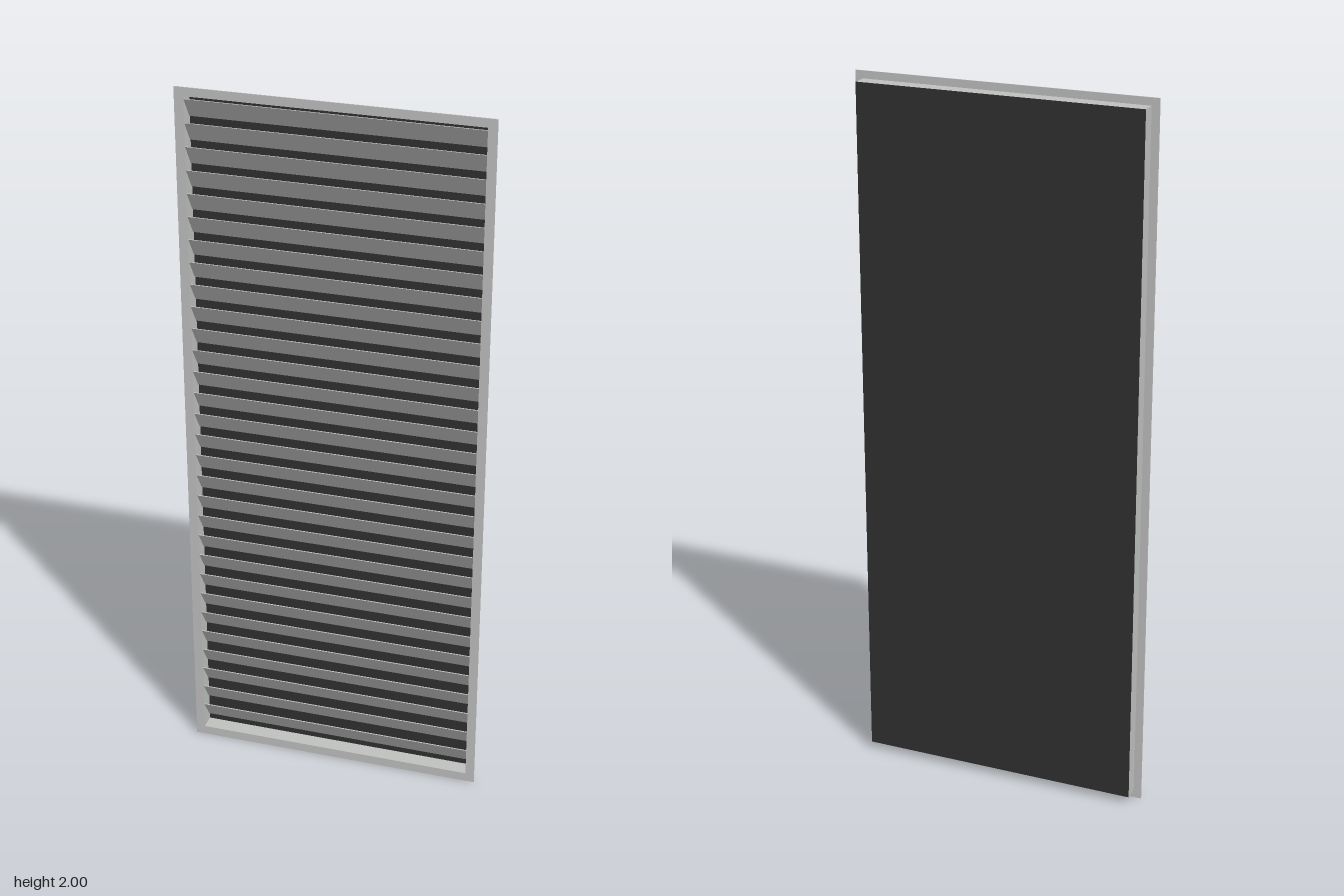
import * as THREE from 'three';

export function createModel() {
  const model = new THREE.Group();
  model.name = 'louvrePanel';
  const metal = new THREE.MeshStandardMaterial({ color: 0xbfc1bf });
  metal.name = 'light grey metal';
  const dark = new THREE.MeshStandardMaterial({ color: 0x313131 });
  dark.name = 'dark backing';

  const W = 0.422, IN = 0.397;          // flange and duct half widths
  const Y0 = 0.026, Y1 = 1.976;         // duct bottom and top
  const FRONT = 0.0235, BACK = -0.0235, T = 0.003;

  const add = (name, geometry, material, x = 0, y = 0, z = 0) => {
    const mesh = new THREE.Mesh(geometry, material);
    mesh.name = name;
    mesh.position.set(x, y, z);
    model.add(mesh);
    return mesh;
  };
  const box = (name, w, h, d, material, x, y, z) =>
    add(name, new THREE.BoxGeometry(w, h, d), material, x, y, z);

  // Thin front flange with a rectangular opening
  const rect = (path, x, y0, y1) => {
    path.moveTo(-x, y0);
    path.lineTo(x, y0);
    path.lineTo(x, y1);
    path.lineTo(-x, y1);
    path.closePath();
    return path;
  };
  const flange = rect(new THREE.Shape(), W, 0, 2);
  flange.holes.push(rect(new THREE.Path(), IN, Y0, Y1));
  add('flange', new THREE.ExtrudeGeometry(flange, { depth: T, bevelEnabled: false }),
    metal, 0, 0, FRONT - T);

  // Duct walls behind the flange
  const depth = FRONT - T - BACK - 0.002;
  const zMid = FRONT - T - depth / 2;
  for (const s of [-1, 1]) {
    box(s > 0 ? 'leftWall' : 'rightWall', T, Y1 - Y0 + 2 * T, depth, metal, s * (IN + T / 2), (Y0 + Y1) / 2, zMid);
    box(s > 0 ? 'topWall' : 'bottomWall', 2 * IN, T, depth, metal, 0, s > 0 ? Y1 + T / 2 : Y0 - T / 2, zMid);
  }

  // Dark sheet closing the back
  box('backPanel', 2 * (IN + T), Y1 - Y0 + 2 * T, 0.002, dark, 0, (Y0 + Y1) / 2, BACK + 0.001);

  // Slats: upper edge forward, lower edge near the back
  const COUNT = 30, PITCH = 0.0643, TOP = 1.967, H = 0.057;
  const zTop = 0.02, zLow = -0.019, t = 0.004;
  const section = new THREE.Shape();
  section.moveTo(-zTop, 0);
  section.lineTo(-zTop + t, 0);
  section.lineTo(-zLow, -H + t);
  section.lineTo(-zLow, -H);
  section.lineTo(-zLow - t / 2, -H);
  section.closePath();
  const slatGeometry = new THREE.ExtrudeGeometry(section, { depth: 2 * IN, bevelEnabled: false });
  slatGeometry.translate(0, 0, -IN);
  slatGeometry.rotateY(Math.PI / 2);
  for (let i = 0; i < COUNT; i++) {
    add('slat' + (i + 1), slatGeometry, metal, 0, TOP - i * PITCH, 0);
  }
  return model;
}
